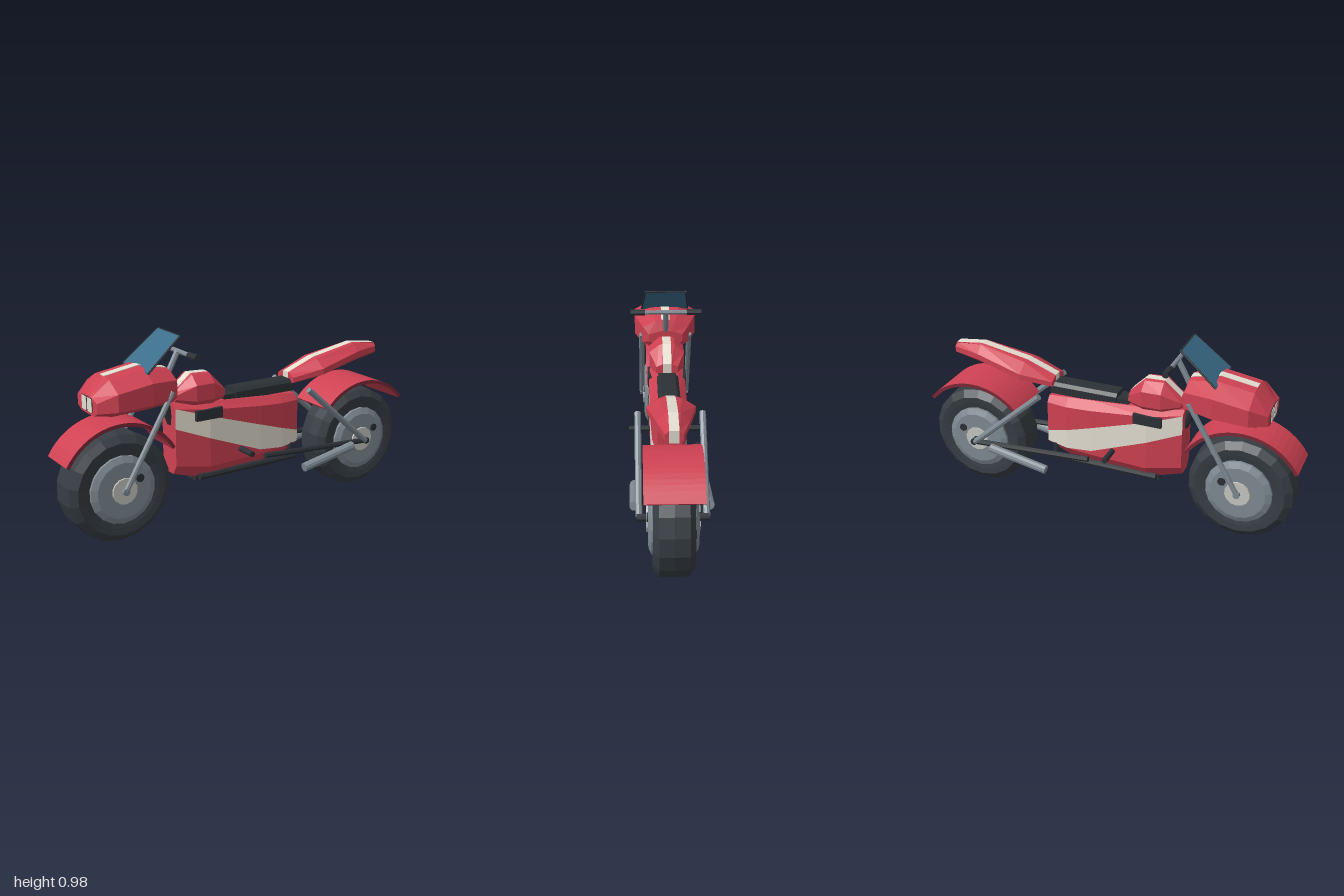
import * as THREE from 'three';

const mat = (name, color) => {
  const m = new THREE.MeshStandardMaterial({ color });
  m.name = name;
  return m;
};

export function createModel() {
  const bike = new THREE.Group();
  bike.name = 'motorcycle';
  const red = mat('red paint', 0xce4152);
  const maroon = mat('maroon edge', 0x7c2836);
  const cream = mat('cream stripe', 0xe4ded0);
  const tyreMat = mat('tyre rubber', 0x363d43);
  const dark = mat('dark trim', 0x2c3136);
  const steel = mat('steel', 0x7f8a93);
  const silver = mat('hub silver', 0xc6c6c2);
  const glass = mat('windscreen glass', 0x396d89);

  // Faceted mesh
  const add = (name, geo, material, parent = bike) => {
    const g = geo.index ? geo.toNonIndexed() : geo;
    g.computeVertexNormals();
    const mesh = new THREE.Mesh(g, material);
    mesh.name = name;
    parent.add(mesh);
    return mesh;
  };
  const box = (name, m, x0, x1, y0, y1, z0, z1) =>
    add(name, new THREE.BoxGeometry(x1 - x0, y1 - y0, z1 - z0), m)
      .position.set((x0 + x1) / 2, (y0 + y1) / 2, (z0 + z1) / 2);
  const rod = (name, m, a, b, r, sides = 8) => {
    const p = new THREE.Vector3(...a), q = new THREE.Vector3(...b);
    const mesh = add(name, new THREE.CylinderGeometry(r, r, p.distanceTo(q), sides), m);
    mesh.position.copy(p).add(q).multiplyScalar(0.5);
    mesh.quaternion.setFromUnitVectors(new THREE.Vector3(0, 1, 0), q.sub(p).normalize());
  };

  // Loft along x through mirrored sections [x, [[y, z], ...top to bottom]].
  // Panels listed in striped use the second material; -1 is the top centre panel.
  const loft = (name, sections, mats, striped = []) => {
    const n = sections[0][1].length;
    const rings = sections.map(([x, half]) => [
      ...half.map(([y, z]) => [x, y, z]),
      ...half.map(([y, z]) => [x, y, -z]).reverse()]);
    const buckets = [[], []];
    const tri = (k, a, b, c) => buckets[k].push(...a, ...b, ...c);
    for (let i = 0; i < rings.length - 1; i++) {
      for (let j = 0; j < 2 * n; j++) {
        const k = striped.includes(j < n ? j : 2 * n - 2 - j) ? 1 : 0;
        const a = rings[i][j], d = rings[i][(j + 1) % (2 * n)];
        const b = rings[i + 1][j], c = rings[i + 1][(j + 1) % (2 * n)];
        tri(k, a, d, c);
        tri(k, a, c, b);
      }
    }
    // End caps: two side fans and a centre panel
    const centre = striped.includes(-1) ? 1 : 0;
    [rings[0], rings[rings.length - 1]].forEach((p, end) => {
      const cap = (k, a, b, c) => (end ? tri(k, a, b, c) : tri(k, a, c, b));
      for (let j = 1; j < n - 1; j++) {
        cap(0, p[0], p[j], p[j + 1]);
        cap(0, p[2 * n - 1], p[n + j - 1], p[n + j]);
      }
      cap(centre, p[0], p[n - 1], p[n]);
      cap(centre, p[0], p[n], p[2 * n - 1]);
    });
    const g = new THREE.BufferGeometry();
    g.setAttribute('position', new THREE.Float32BufferAttribute([...buckets[0], ...buckets[1]], 3));
    g.addGroup(0, buckets[0].length / 3, 0);
    g.addGroup(buckets[0].length / 3, buckets[1].length / 3, 1);
    return add(name, g, mats);
  };

  // Rounded shell section with a narrow centre panel above and below
  const shell = (x, top, shoulder, low, bottom, w, s = 0.022) => [x, [
    [top, s], [top - 0.005, w * 0.45], [shoulder, w], [low, w],
    [bottom, w * 0.6], [bottom, s]]];
  // Thin plate section
  const plate = (x, y, w) => [x, [[y, w], [y - 0.009, w]]];

  // Wheels
  const lathe = (pts, seg) =>
    new THREE.LatheGeometry(pts.map(p => new THREE.Vector2(...p)), seg).rotateX(Math.PI / 2);
  const WY = 0.275;
  for (const [name, x] of [['frontWheel', -0.71], ['rearWheel', 0.73]]) {
    const wheel = new THREE.Group();
    wheel.name = name;
    wheel.position.set(x, WY, 0);
    bike.add(wheel);
    add('tyre', lathe([[0.165, -0.085], [0.2, -0.092], [0.232, -0.095], [0.268, -0.068], [0.272, 0],
      [0.268, 0.068], [0.232, 0.095], [0.2, 0.092], [0.165, 0.085]], 18), tyreMat, wheel);
    add('rim', lathe([[0, -0.114], [0.14, -0.114], [0.17, -0.1], [0.17, 0.1], [0.14, 0.114], [0, 0.114]], 18),
      steel, wheel);
    add('hub', new THREE.CylinderGeometry(0.065, 0.065, 0.246, 14).rotateX(Math.PI / 2), silver, wheel);
    add('rimBolt', new THREE.CylinderGeometry(0.021, 0.021, 0.242, 8).rotateX(Math.PI / 2), dark, wheel)
      .position.set(0.083, 0.05, 0);
  }
  rod('frontAxle', steel, [-0.71, WY, -0.14], [-0.71, WY, 0.14], 0.018);
  rod('rearAxle', dark, [0.73, WY, -0.165], [0.73, WY, 0.165], 0.018);

  // Mudguards with darker side edges
  for (const [name, x, w, deg] of [['frontMudguard', -0.71, 0.105, 30], ['rearMudguard', 0.73, 0.135, 40]]) {
    const a = THREE.MathUtils.degToRad(deg);
    const s = new THREE.Shape();
    s.absarc(0, 0, 0.33, a, Math.PI - a, false);
    s.absarc(0, 0, 0.312, Math.PI - a, a, true);
    add(name, new THREE.ExtrudeGeometry(s, { depth: 2 * w, bevelEnabled: false, curveSegments: 10 }), [maroon, red])
      .position.set(x, WY, -w);
  }

  // Main body with a diagonal side band
  const bodySection = (x, w, top, hi, low, bottom) => {
    const bandTop = Math.min(hi, 0.615 - 0.32 * (x + 0.4));
    const bandLow = Math.max(low, 0.512 - 0.385 * (x + 0.4));
    return [x, [[top, w * 0.55], [hi, w], [bandTop, w], [bandLow, w], [low, w], [bottom, w * 0.5]]];
  };
  loft('body', [
    bodySection(-0.4, 0.065, 0.635, 0.615, 0.32, 0.272),
    bodySection(-0.22, 0.095, 0.62, 0.59, 0.295, 0.22),
    bodySection(0.08, 0.092, 0.6, 0.56, 0.305, 0.235),
    bodySection(0.22, 0.085, 0.59, 0.55, 0.312, 0.255),
    bodySection(0.335, 0.06, 0.575, 0.545, 0.32, 0.295)], [red, cream], [2]);

  // Nose fairing with top stripe and twin headlight panels
  loft('noseFairing', [
    shell(-0.83, 0.74, 0.72, 0.67, 0.65, 0.105),
    shell(-0.75, 0.82, 0.765, 0.68, 0.645, 0.165),
    shell(-0.57, 0.848, 0.79, 0.685, 0.65, 0.165),
    shell(-0.42, 0.815, 0.775, 0.69, 0.655, 0.12),
    shell(-0.4, 0.76, 0.74, 0.7, 0.68, 0.09)], [red, red]);
  loft('noseStripe', [plate(-0.75, 0.823, 0.022), plate(-0.57, 0.851, 0.022), plate(-0.42, 0.818, 0.022)],
    [cream, cream]);
  box('headlightSurround', dark, -0.832, -0.828, 0.662, 0.732, -0.055, 0.055);

  // Tank and tail
  loft('tank', [
    shell(-0.385, 0.69, 0.675, 0.655, 0.64, 0.05),
    shell(-0.29, 0.77, 0.72, 0.64, 0.61, 0.088),
    shell(-0.19, 0.765, 0.72, 0.64, 0.605, 0.09),
    shell(-0.11, 0.685, 0.67, 0.64, 0.62, 0.055)], [red, cream], [-1, 5]);
  loft('tail', [
    shell(0.3, 0.69, 0.67, 0.645, 0.63, 0.07),
    shell(0.46, 0.75, 0.705, 0.675, 0.655, 0.115),
    shell(0.72, 0.797, 0.755, 0.725, 0.7, 0.075),
    shell(0.87, 0.778, 0.76, 0.73, 0.718, 0.04)], [red, cream], [-1, 5]);

  // Seat
  const seat = x => [x, [[0.658, 0.038], [0.642, 0.054], [0.62, 0.054]]];
  box('seatBase', dark, -0.11, 0.32, 0.595, 0.635, -0.045, 0.045);
  loft('seat', [seat(-0.045), seat(0.31)], [dark, dark]);

  // Windscreen
  loft('windscreen', [plate(-0.575, 0.833, 0.125), plate(-0.39, 0.987, 0.105)], [glass, glass]);
  rod('windscreenTopTrim', dark, [-0.39, 0.982, -0.105], [-0.39, 0.982, 0.105], 0.005, 6);

  // Steering
  rod('steeringNeck', dark, [-0.46, 0.72, 0], [-0.385, 0.53, 0], 0.025);
  rod('handlebarStem', steel, [-0.45, 0.69, 0], [-0.345, 0.885, 0], 0.015);
  rod('handlebar', steel, [-0.345, 0.884, -0.12], [-0.345, 0.884, 0.12], 0.012);
  rod('forkClamp', steel, [-0.455, 0.71, -0.13], [-0.455, 0.71, 0.13], 0.014);
  box('crashBar', dark, -0.28, 0.22, 0.215, 0.245, -0.05, 0.05);

  // Paired parts
  for (const s of [-1, 1]) {
    const side = s > 0 ? 'left' : 'right';
    box(side + 'Headlight', cream, -0.834, -0.83, 0.664, 0.73, s * 0.029 - 0.023, s * 0.029 + 0.023);
    rod(side + 'WindscreenTrim', dark, [-0.575, 0.828, s * 0.125], [-0.39, 0.982, s * 0.105], 0.005, 6);
    rod(side + 'Grip', dark, [-0.345, 0.884, s * 0.11], [-0.345, 0.884, s * 0.187], 0.017);
    rod(side + 'Fork', steel, [-0.71, WY, s * 0.128], [-0.447, 0.725, s * 0.128], 0.014);
    rod(side + 'Swingarm', dark, [0.07, 0.312, s * 0.15], [0.73, WY, s * 0.15], 0.015);
    rod(side + 'Shock', steel, [0.335, 0.62, s * 0.155], [0.725, WY, s * 0.155], 0.016);
    rod(side + 'Exhaust', steel, [0.3, 0.21, s * 0.175], [0.62, 0.272, s * 0.175], 0.024, 10);
    rod(side + 'LowerRail', dark, [-0.27, 0.24, s * 0.065], [0.31, 0.245, s * 0.065], 0.018);
    rod(side + 'RearPost', dark, [0.29, 0.24, s * 0.06], [0.29, 0.32, s * 0.06], 0.015);
    rod(side + 'FootPeg', dark, [-0.04, 0.355, s * 0.08], [-0.04, 0.355, s * 0.2], 0.015);
    box(side + 'KneePad', dark, -0.3, -0.15, 0.542, 0.595, s * 0.086 - 0.014, s * 0.086 + 0.014);
  }
  return bike;
}
